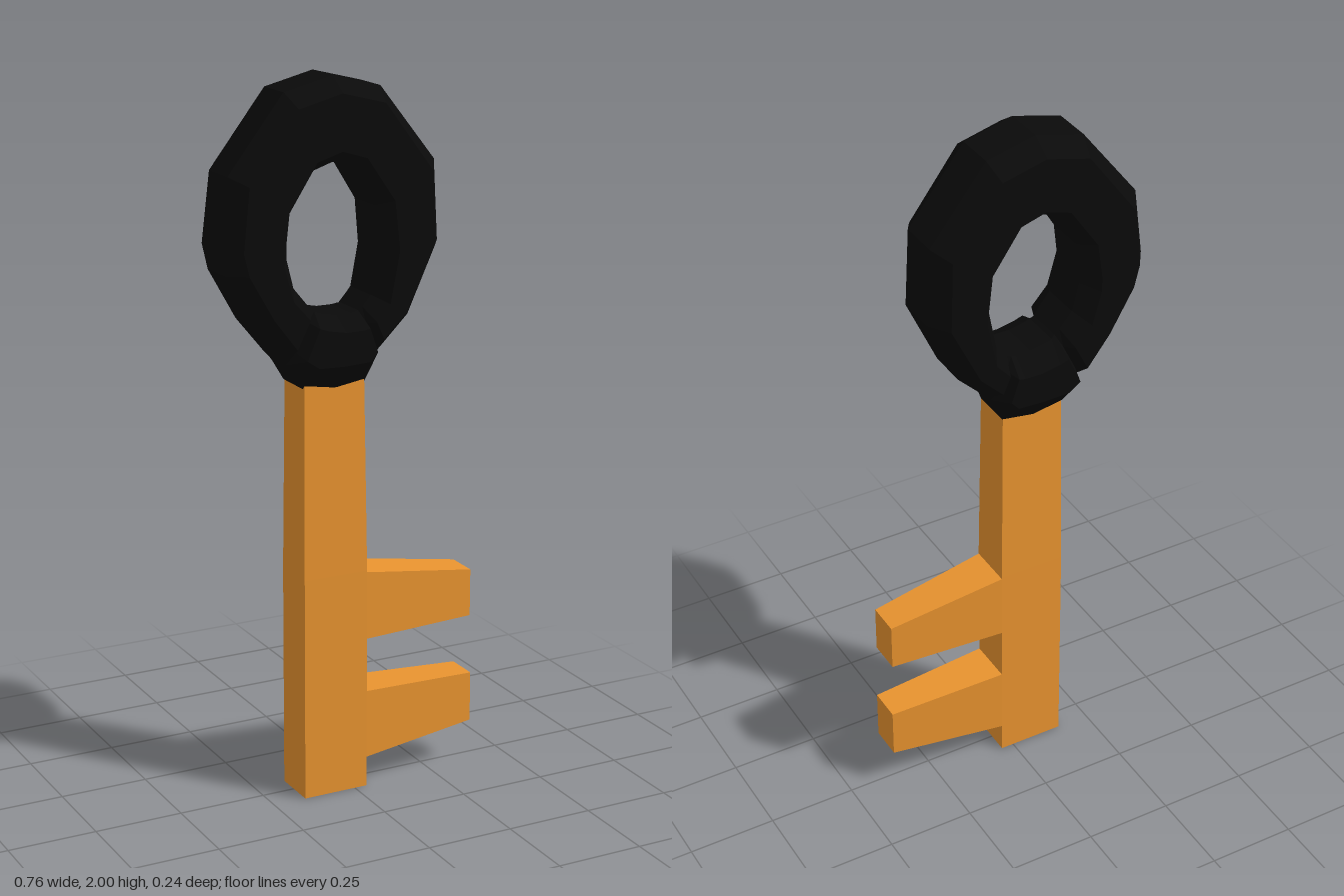
import * as THREE from 'three';

// Skin a list of cross-sections (counter-clockwise about the travel direction), capped at both ends.
function loft(sections) {
  const n = sections[0].length, last = (sections.length - 1) * n, index = [];
  for (let k = 0; k < sections.length - 1; k++) {
    for (let j = 0; j < n; j++) {
      const a = k * n + j, b = k * n + (j + 1) % n;
      index.push(a, b, a + n, b, b + n, a + n);
    }
  }
  for (let j = 1; j < n - 1; j++) {
    index.push(0, j + 1, j, last, last + j, last + j + 1);
  }
  const geo = new THREE.BufferGeometry();
  geo.setAttribute('position', new THREE.Float32BufferAttribute(sections.flat(2), 3));
  geo.setIndex(index);
  const flat = geo.toNonIndexed();
  flat.computeVertexNormals();
  return flat;
}

// Chamfered section of the grip between an outer and an inner point.
function gripSection([ox, oy, ix, iy, depth = 0.116, bevel = 0.04]) {
  const len = Math.hypot(ix - ox, iy - oy);
  const ux = (ix - ox) / len, uy = (iy - oy) / len;
  const rim = Math.min(0.057, depth * 0.7);
  const half = [
    [ox, oy, rim],
    [ox + ux * bevel, oy + uy * bevel, depth],
    [ix - ux * 0.035, iy - uy * 0.035, depth],
    [ix, iy, rim],
  ];
  return [...half, ...half.map(([x, y, z]) => [x, y, -z]).reverse()];
}

export function createModel() {
  const key = new THREE.Group();
  key.name = 'key';
  const metal = new THREE.MeshStandardMaterial({ color: 0xe8932f, flatShading: true });
  const rubber = new THREE.MeshStandardMaterial({ color: 0x0a0a0a, flatShading: true });
  const add = (name, sections, material) => {
    const mesh = new THREE.Mesh(loft(sections), material);
    mesh.name = name;
    key.add(mesh);
  };

  // Oval bow, running clockwise from one side of the collar to the other:
  // outer x, outer y, inner x, inner y, half depth, outer bevel
  add('bow', [
    [-0.195, 1.245, -0.125, 1.39, 0.075],
    [-0.21, 1.262, -0.138, 1.405],
    [-0.29, 1.36, -0.175, 1.45],
    [-0.368, 1.5, -0.195, 1.53],
    [-0.384, 1.57, -0.195, 1.565],
    [-0.36, 1.76, -0.185, 1.65],
    [-0.2, 1.965, -0.12, 1.755],
    [-0.06, 2.0, -0.06, 1.775],
    [0.08, 1.965, 0.0, 1.755],
    [0.242, 1.76, 0.065, 1.65],
    [0.254, 1.54, 0.075, 1.53],
    [0.165, 1.345, 0.052, 1.41],
    [0.08, 1.262, 0.028, 1.38],
    [0.065, 1.245, 0.018, 1.37, 0.075],
  ].map(gripSection), rubber);

  // Collar closing the bow, with a shallow groove at each joint
  add('collar', [
    [0.065, 1.245, 0.018, 1.37, 0.075],
    [0.055, 1.23, 0.008, 1.368, 0.122],
    [0.035, 1.175, -0.005, 1.366, 0.122, 0.07],
    [-0.06, 1.16, -0.05, 1.366, 0.122, 0.08],
    [-0.15, 1.175, -0.095, 1.375, 0.122, 0.07],
    [-0.183, 1.23, -0.115, 1.382, 0.122],
    [-0.195, 1.245, -0.125, 1.39, 0.075],
  ].map(gripSection), rubber);

  // Shaft: y, left and right x, back and front z
  add('shaft', [
    [0, -0.155, 0.037, -0.06, 0.073],
    [0.64, -0.154, 0.037, -0.06, 0.073],
    [1.24, -0.148, 0.03, -0.053, 0.064],
  ].map(([y, x0, x1, z0, z1]) => [[x0, y, z1], [x1, y, z1], [x1, y, z0], [x0, y, z0]]), metal);

  // Tapered teeth: x, bottom and top y, back and front z
  const tooth = ([x, y0, y1, z0, z1]) => [[x, y1, z0], [x, y1, z1], [x, y0, z1], [x, y0, z0]];
  add('upperTooth', [
    [0.03, 0.44, 0.636, -0.06, 0.073],
    [0.376, 0.445, 0.582, -0.042, 0.054],
  ].map(tooth), metal);
  add('lowerTooth', [
    [0.03, 0.086, 0.285, -0.06, 0.073],
    [0.381, 0.125, 0.27, -0.042, 0.054],
  ].map(tooth), metal);

  return key;
}
